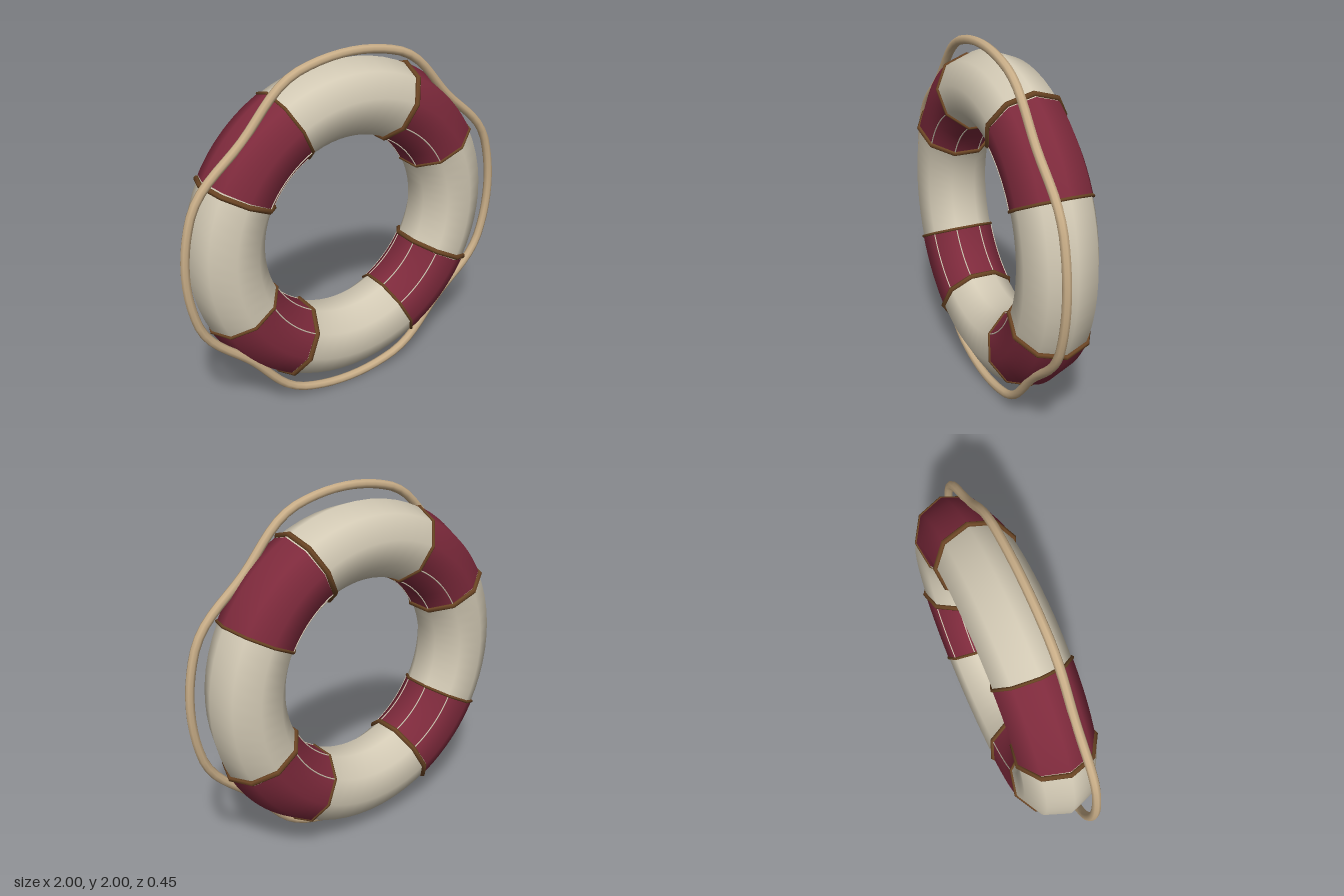
import * as THREE from 'three';

const R = 0.71, TUBE = 0.207, SIDES = 9, BAND = 0.211;
const rad = THREE.MathUtils.degToRad;

export function createModel() {
  const mat = (name, color) => {
    const m = new THREE.MeshStandardMaterial({ color });
    m.name = name;
    return m;
  };
  const cream = mat('cream', 0xd3cab5);
  const red = mat('darkRed', 0x7e2a3c);
  const brown = mat('brownTrim', 0x6b4524);
  const tan = mat('ropeTan', 0xc9ae88);
  red.side = THREE.DoubleSide;

  const model = new THREE.Group();
  model.name = 'lifeRing';
  model.position.y = 1.003;
  const add = (parent, name, geometry, material) => {
    const mesh = new THREE.Mesh(geometry, material);
    mesh.name = name;
    parent.add(mesh);
    return mesh;
  };

  // Main float
  add(model, 'float', new THREE.TorusGeometry(R, TUBE, SIDES, 64), cream);

  // Edge piping that wraps once around the float's cross-section
  const piping = (parent, name, angle, thickness) => {
    const g = new THREE.TorusGeometry(BAND, thickness, 6, SIDES);
    g.rotateX(Math.PI / 2).translate(R, 0, 0).rotateZ(rad(angle));
    add(parent, name, g, brown);
  };

  // Four wrapped bands with piping and pale seams on the inner side
  const start = -17, span = 33.7;
  for (let i = 0; i < 4; i++) {
    const band = new THREE.Group();
    band.name = 'band' + (i + 1);
    band.rotation.z = rad(45 + 90 * i);
    model.add(band);
    const wrap = new THREE.TorusGeometry(R, BAND, SIDES, 12, rad(span));
    add(band, 'wrap', wrap.rotateZ(rad(start)), red);
    for (const a of [120, 160, 200, 240]) {
      const seam = new THREE.TorusGeometry(R + BAND * Math.cos(rad(a)), 0.0035, 6, 12, rad(span));
      seam.rotateZ(rad(start)).translate(0, 0, BAND * Math.sin(rad(a)));
      add(band, 'seam', seam, cream);
    }
    piping(band, 'widePiping', 18.1, 0.015);
    piping(band, 'thinPiping', start + 0.1, 0.009);
  }

  // Grab rope, drawn in towards the float at each band
  const points = [];
  for (let a = 0; a < 360; a += 5) {
    const d = Math.abs((a % 90) - 45);
    const dip = d < 27 ? Math.cos((d / 27) * Math.PI / 2) ** 2 : 0;
    const r = 0.975 - 0.083 * dip;
    points.push(new THREE.Vector3(r * Math.cos(rad(a)), r * Math.sin(rad(a)), 0.092));
  }
  const path = new THREE.CatmullRomCurve3(points, true);
  add(model, 'grabRope', new THREE.TubeGeometry(path, 96, 0.024, 8, true), tan);

  const root = new THREE.Group();
  root.name = 'model';
  root.add(model);
  return root;
}
